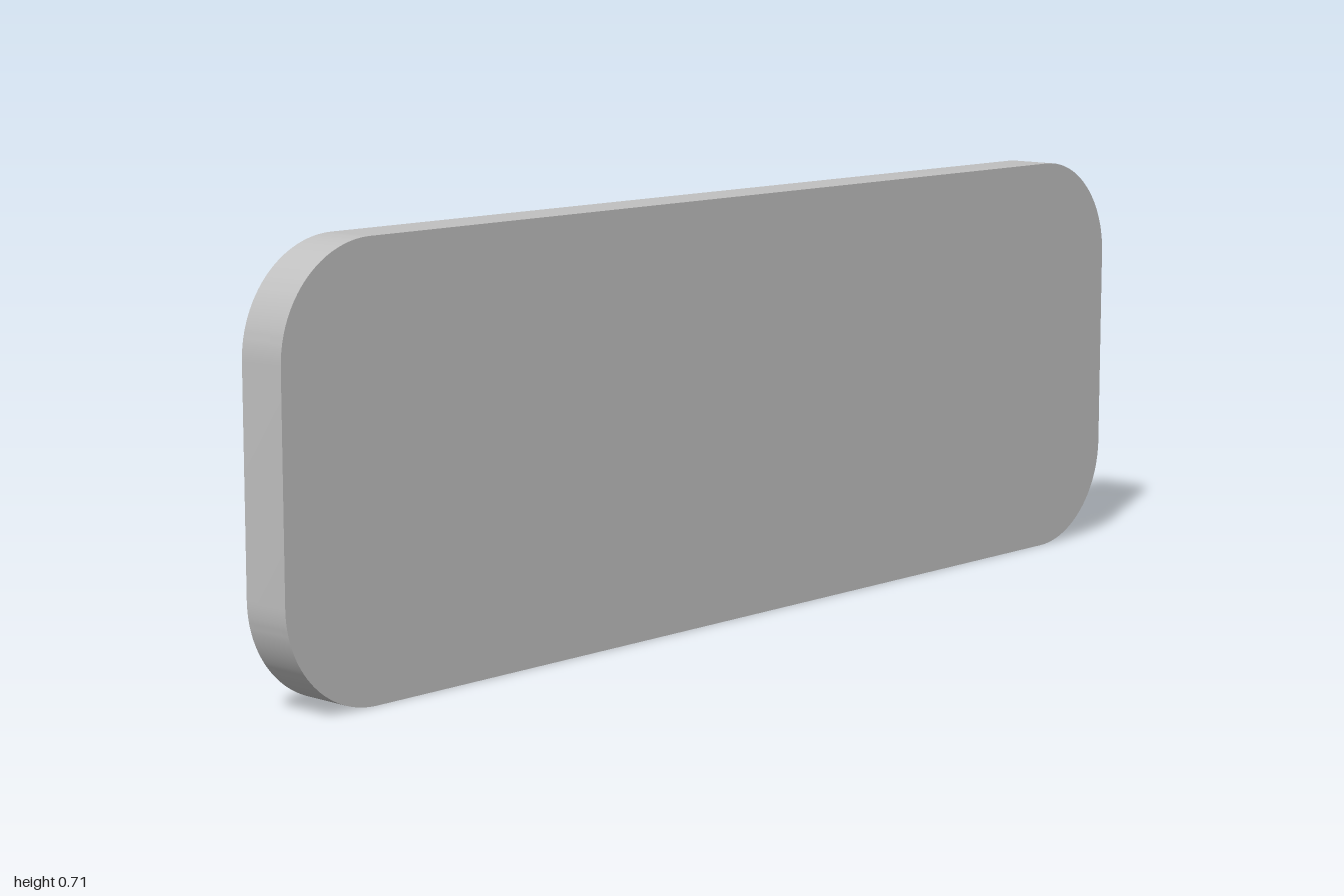
import * as THREE from 'three';
import { toCreasedNormals } from 'three/addons/utils/BufferGeometryUtils.js';

const WIDTH = 2, HEIGHT = 0.706, CORNER = 0.176;
const FRONT = 0.149, PLATE_BACK = 0.063, PEG_END = -0.149;
const PEG_RADIUS = 0.085, PEG_X = 0.47;

// Outline with four rounded corners, centred on the origin
function roundedRectangle(w, h, r) {
  const x = w / 2 - r, y = h / 2 - r, q = Math.PI / 2;
  const shape = new THREE.Shape();
  [[x, y], [-x, y], [-x, -y], [x, -y]].forEach(([cx, cy], i) =>
    shape.absarc(cx, cy, r, i * q, (i + 1) * q, false));
  shape.closePath();
  return shape;
}

export function createModel() {
  const model = new THREE.Group();
  model.name = 'pegPlate';
  const grey = new THREE.MeshStandardMaterial({ color: 0xc0c0c0 });
  grey.name = 'light grey';

  // Flat plate with smooth rounded corners
  const plateGeometry = toCreasedNormals(
    new THREE.ExtrudeGeometry(roundedRectangle(WIDTH, HEIGHT, CORNER), {
      depth: FRONT - PLATE_BACK, bevelEnabled: false, curveSegments: 16,
    }), Math.PI / 6);
  const plate = new THREE.Mesh(plateGeometry, grey);
  plate.name = 'plate';
  plate.position.set(0, HEIGHT / 2, PLATE_BACK);
  model.add(plate);

  // Two round pegs on the back
  const pegGeometry = new THREE.CylinderGeometry(PEG_RADIUS, PEG_RADIUS, PLATE_BACK - PEG_END, 48);
  pegGeometry.rotateX(Math.PI / 2);
  for (const side of [1, -1]) {
    const peg = new THREE.Mesh(pegGeometry, grey);
    peg.name = side > 0 ? 'leftPeg' : 'rightPeg';
    peg.position.set(side * PEG_X, HEIGHT / 2, (PLATE_BACK + PEG_END) / 2);
    model.add(peg);
  }
  return model;
}
